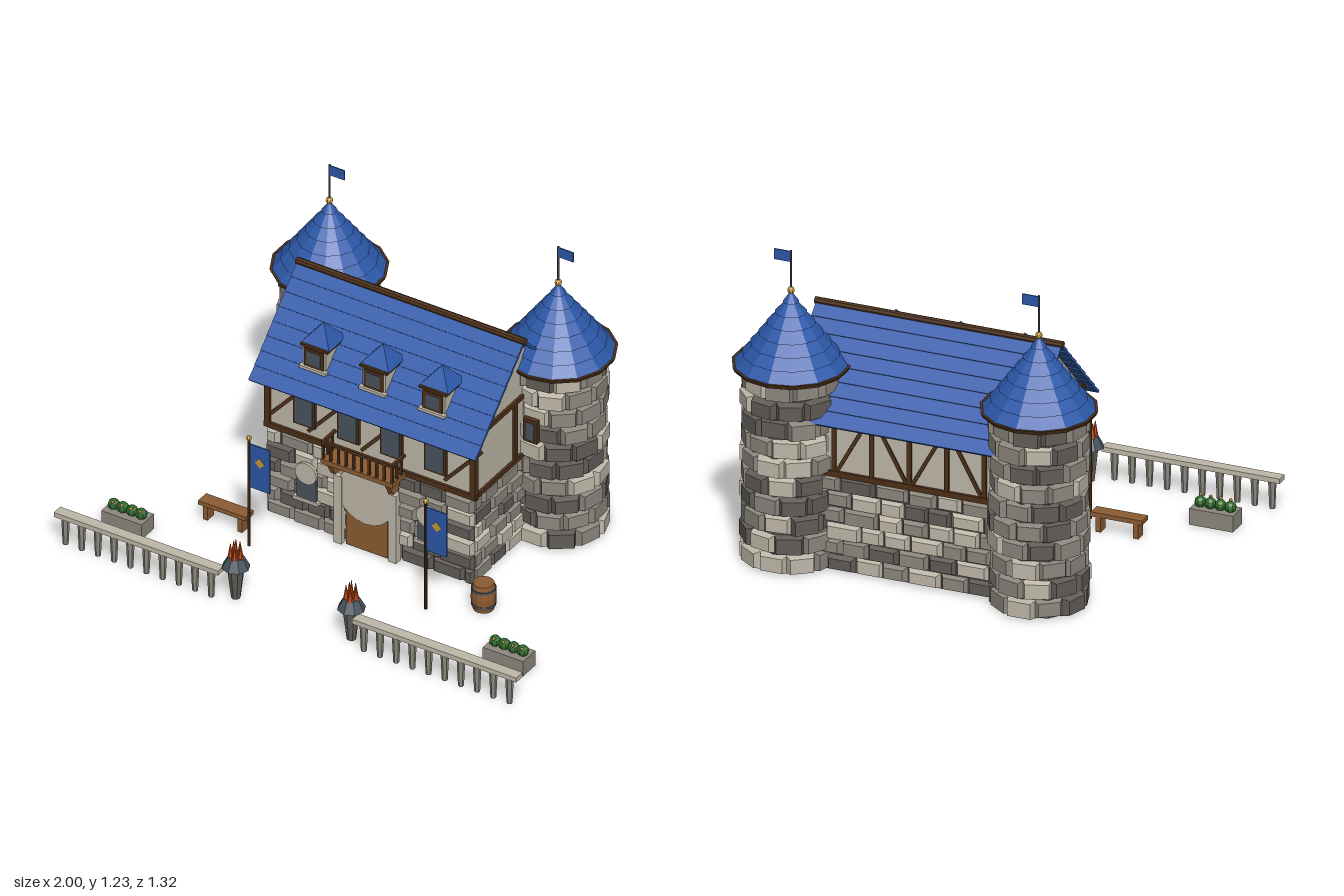
import * as THREE from 'three';
import { mergeGeometries } from 'three/addons/utils/BufferGeometryUtils.js';

const material = (name, color) => {
  const m = new THREE.MeshStandardMaterial({ color, flatShading: true });
  m.name = name;
  return m;
};
const M = {
  light: material('pale stone and plaster', 0xbfb8a9),
  mid: material('grey stone', 0x8d887f),
  dark: material('dark stone', 0x615d58),
  blue: material('blue shingle', 0x2c58a8),
  timber: material('dark timber', 0x4d3018),
  wood: material('warm wood', 0x8c5c33),
  slate: material('slate iron', 0x48545e),
  gold: material('gold', 0xc4983c),
  flame: material('flame', 0xc84a18),
  green: material('leaf green', 0x2f6b2c),
};

let seed = 7;
const rand = () => (seed = (seed * 16807) % 2147483647) / 2147483647;

const place = (g, x, y, z, rx = 0, ry = 0, rz = 0) =>
  g.applyMatrix4(new THREE.Matrix4().makeRotationFromEuler(new THREE.Euler(rx, ry, rz)).setPosition(x, y, z));
const box = (w, h, d, x, y, z, rx, ry, rz) => place(new THREE.BoxGeometry(w, h, d), x, y, z, rx, ry, rz);
const cyl = (rt, rb, h, n, x, y, z) => place(new THREE.CylinderGeometry(rt, rb, h, n), x, y, z);
const ball = (r, x, y, z) => place(new THREE.SphereGeometry(r, 8, 6), x, y, z);
const disc = (r, d, x, y, z) => place(new THREE.CylinderGeometry(r, r, d, 20), x, y, z, Math.PI / 2);

// Rough block: back at z = 0, front face bevelled
function stone(w, h, d) {
  const g = new THREE.BoxGeometry(w, h, d), p = g.attributes.position;
  const b = 0.007 + rand() * 0.006;
  const skew = (rand() - 0.5) * 0.005;
  for (let i = 0; i < p.count; i++) {
    if (p.getZ(i) > 0) {
      p.setX(i, p.getX(i) * (1 - (2 * b) / w));
      p.setY(i, p.getY(i) * (1 - (1.5 * b) / h) + skew);
    }
    p.setZ(i, p.getZ(i) + d / 2);
  }
  return g;
}

export function createModel() {
  const root = new THREE.Group();
  root.name = 'manor';
  const part = (name, mat, geos) => {
    const list = geos.map((g) => (g.index ? g.toNonIndexed() : g));
    list.forEach((g) => { g.deleteAttribute('uv'); g.computeVertexNormals(); });
    const mesh = new THREE.Mesh(mergeGeometries(list), mat);
    mesh.name = name;
    root.add(mesh);
  };
  const pile = () => ({ light: [], mid: [], dark: [] });
  const drop = (p, g) => p[['light', 'mid', 'dark', 'mid', 'light', 'mid', 'dark'][Math.floor(rand() * 7)]].push(g);
  const build = (name, p) => Object.keys(p).forEach((k) => part(name, M[k], p[k]));

  // Ground floor: core with staggered blocks on four sides
  const CZ = -0.215, walls = pile();
  part('wallCore', M.dark, [box(0.86, 0.38, 0.55, 0, 0.19, CZ)]);
  for (const [len, x, z, ry] of [[0.9, 0, 0.06, 0], [0.9, 0, -0.49, Math.PI], [0.55, 0.43, CZ, Math.PI / 2], [0.55, -0.43, CZ, -Math.PI / 2]]) {
    for (let r = 0; r < 6; r++) {
      let a = -len / 2, w = r % 2 ? 0.06 : 0.12;
      while (a < len / 2 - 0.01) {
        let e = a + w;
        if (e > len / 2 - 0.04) e = len / 2;
        const g = stone(e - a - 0.004, 0.06, 0.016 + rand() * 0.01);
        g.translate((a + e) / 2, 0.032 + r * 0.0635, 0);
        drop(walls, place(g, x, 0, z, 0, ry));
        a = e;
        w = 0.09 + rand() * 0.05;
      }
    }
  }
  build('wallStones', walls);

  // Upper storey and gables as one house-shaped prism
  const house = new THREE.Shape();
  house.moveTo(-0.49, 0.38).lineTo(0.06, 0.38).lineTo(0.06, 0.648).lineTo(CZ, 0.92).lineTo(-0.49, 0.648);
  const prism = new THREE.ExtrudeGeometry(house, { depth: 0.89, bevelEnabled: false });
  part('upperStorey', M.light, [place(prism, 0.445, 0, 0, 0, -Math.PI / 2)]);

  // Timber frame
  const frame = [];
  for (const z of [0.06, -0.49]) {
    frame.push(box(0.92, 0.022, 0.022, 0, 0.389, z), box(0.92, 0.022, 0.022, 0, 0.635, z));
    for (const s of [-1, 1]) frame.push(box(0.024, 0.27, 0.024, s * 0.445, 0.515, z));
  }
  for (const s of [-1, 1]) {
    for (const y of [0.389, 0.648]) frame.push(box(0.02, 0.018, 0.57, s * 0.446, y, CZ));
    frame.push(box(0.02, 0.26, 0.02, s * 0.446, 0.515, CZ));
  }
  for (const x of [-0.37, -0.19, 0.04, 0.4]) frame.push(box(0.014, 0.24, 0.012, x, 0.51, 0.062, 0, 0, -0.72));
  for (let i = -2; i <= 2; i++) {
    frame.push(box(0.018, 0.25, 0.014, i * 0.15, 0.515, -0.491));
    if (i < 2) frame.push(box(0.014, 0.27, 0.012, i * 0.15 + 0.075, 0.515, -0.49, 0, 0, i % 2 ? 0.5 : -0.5));
  }
  part('timberFrame', M.timber, frame);

  // Main roof: overlapping shingle courses and ridge beam
  const courses = [], ROWS = 8, A = 0.777;
  for (const s of [-1, 1])
    for (let i = 0; i < ROWS; i++) {
      const t = (i + 0.5) / ROWS;
      courses.push(box(0.98, 0.011, 0.067, 0, 0.933 - 0.33 * t, CZ + s * 0.335 * t, s * (A - 0.07)));
    }
  part('mainRoof', M.blue, courses);
  part('ridgeBeam', M.timber, [place(new THREE.CylinderGeometry(0.014, 0.014, 0.99, 8), 0, 0.935, CZ, 0, 0, Math.PI / 2)]);

  // Dormers
  const dBody = [], dFrame = [], dGlass = [], dRoof = [];
  for (const x of [-0.257, 0, 0.257]) {
    dBody.push(box(0.1, 0.1, 0.12, x, 0.735, -0.018), box(0.115, 0.012, 0.02, x, 0.69, 0.048));
    dFrame.push(box(0.084, 0.078, 0.008, x, 0.735, 0.044), box(0.12, 0.01, 0.135, x, 0.782, -0.02));
    dGlass.push(box(0.058, 0.056, 0.006, x, 0.735, 0.047));
    dRoof.push(place(new THREE.ConeGeometry(0.088, 0.075, 4), x, 0.822, -0.022, 0, Math.PI / 4));
  }
  part('dormerBody', M.light, dBody);
  part('dormerFrame', M.timber, dFrame);
  part('dormerGlass', M.slate, dGlass);
  part('dormerRoof', M.blue, dRoof);

  // Upper windows
  const xs = [-0.283, -0.093, 0.093, 0.283];
  part('windowFrame', M.timber, xs.map((x) => box(0.094, 0.14, 0.016, x, 0.513, 0.066)));
  part('windowGlass', M.slate, xs.map((x) => box(0.076, 0.122, 0.008, x, 0.513, 0.073)));

  // Entrance and ground windows with rounded stone heads
  part('door', M.wood, [box(0.18, 0.26, 0.02, 0, 0.13, 0.082)]);
  part('groundWindow', M.slate, [-1, 1].map((s) => box(0.085, 0.13, 0.01, s * 0.262, 0.2, 0.087)));
  const heads = [disc(0.122, 0.02, 0, 0.248, 0.092)];
  for (const s of [-1, 1]) {
    heads.push(disc(0.046, 0.012, s * 0.262, 0.25, 0.09), box(0.035, 0.3, 0.035, s * 0.118, 0.15, 0.088));
    heads.push(box(0.11, 0.014, 0.02, s * 0.262, 0.13, 0.088));
  }
  part('archStones', M.light, heads);

  // Balcony with brackets and railing
  const deck = [box(0.31, 0.02, 0.09, 0, 0.387, 0.117)];
  for (const s of [-1, 1]) {
    const b = new THREE.Shape();
    b.moveTo(0.075, 0.378).lineTo(0.155, 0.378).lineTo(0.125, 0.32).lineTo(0.09, 0.32);
    deck.push(place(new THREE.ExtrudeGeometry(b, { depth: 0.022, bevelEnabled: false }), s * 0.125 + 0.011, 0, 0, 0, -Math.PI / 2));
  }
  part('balconyDeck', M.wood, deck);
  const rails = [box(0.31, 0.012, 0.012, 0, 0.471, 0.154)];
  for (let i = 0; i < 10; i++) rails.push(box(0.009, 0.08, 0.009, -0.149 + i * 0.0331, 0.434, 0.154));
  for (const s of [-1, 1]) {
    rails.push(box(0.012, 0.012, 0.085, s * 0.149, 0.471, 0.115));
    for (const z of [0.092, 0.122]) rails.push(box(0.009, 0.08, 0.009, s * 0.149, 0.434, z));
  }
  part('balconyRailing', M.timber, rails);

  // Round towers with stepped cone roofs, finials and flags
  const TZ = -0.44, tower = pile(), core = [], cone = [], rim = [], pole = [], knob = [], flag = [];
  for (const s of [-1, 1]) {
    const x = s * 0.495;
    core.push(cyl(0.163, 0.163, 0.768, 10, x, 0.384, TZ));
    for (let r = 0; r < 10; r++)
      for (let k = 0; k < 10; k++) {
        const a = ((k + (r % 2) / 2) / 10) * Math.PI * 2 + r * 0.05;
        const g = stone(0.109, 0.073, 0.024 + rand() * 0.012);
        g.translate(0, 0, 0.152);
        drop(tower, place(g, x, 0.039 + r * 0.0768, TZ, 0, a));
      }
    rim.push(cyl(0.221, 0.214, 0.016, 14, x, 0.772, TZ));
    for (let i = 0; i < 7; i++) {
      const r0 = 0.212 * (1 - i / 7), r1 = Math.max(0.212 * (1 - (i + 1) / 7) - 0.009, 0.001);
      cone.push(cyl(r1, r0, 0.042, 14, x, 0.8 + i * 0.041, TZ));
    }
    pole.push(cyl(0.004, 0.004, 0.17, 6, x, 1.145, TZ));
    knob.push(ball(0.014, x, 1.07, TZ));
    flag.push(box(0.064, 0.042, 0.005, x + 0.034, 1.205, TZ));
  }
  part('towerCore', M.dark, core);
  build('towerStones', tower);
  part('towerRim', M.timber, rim);
  part('towerRoof', M.blue, cone);
  part('flagPole', M.slate, pole);
  part('finial', M.gold, knob);
  part('towerFlag', M.blue, flag);
  part('towerSlitFrame', M.timber, [-1, 1].map((s) => box(0.06, 0.1, 0.02, s * 0.495, 0.52, -0.254)));
  part('towerSlit', M.slate, [-1, 1].map((s) => box(0.036, 0.076, 0.008, s * 0.495, 0.52, -0.243)));

  // Banners on poles
  const bx = [-0.385, 0.38];
  part('bannerPole', M.timber, bx.map((x) => cyl(0.006, 0.006, 0.475, 8, x, 0.2375, 0.29)));
  part('bannerKnob', M.gold, bx.map((x) => ball(0.011, x, 0.48, 0.29)));
  part('bannerCloth', M.blue, bx.map((x) => box(0.086, 0.192, 0.006, x + 0.049, 0.36, 0.29)));
  part('bannerDiamond', M.gold, bx.map((x) => box(0.03, 0.03, 0.009, x + 0.049, 0.385, 0.29, 0, 0, Math.PI / 4)));

  // Bench and barrel
  const bench = [box(0.205, 0.018, 0.055, -0.533, 0.07, 0.213)];
  for (const s of [-1, 1]) bench.push(box(0.02, 0.062, 0.046, -0.533 + s * 0.075, 0.031, 0.213));
  part('bench', M.wood, bench);
  const stave = [[0, 0], [0.04, 0], [0.047, 0.035], [0.048, 0.06], [0.046, 0.085], [0.04, 0.113], [0, 0.113]];
  part('barrel', M.wood, [place(new THREE.LatheGeometry(stave.map((p) => new THREE.Vector2(...p)), 14), 0.555, 0, 0.17)]);
  part('barrelHoops', M.slate, [0.025, 0.09].map((y) => cyl(0.0475, 0.0475, 0.009, 14, 0.555, y, 0.17)));

  // Planters, balustrades and braziers, mirrored
  const trough = [], plant = [], bud = [], rail = [], post = [], stand = [], bowl = [], fire = [];
  for (const s of [-1, 1]) {
    trough.push(box(0.175, 0.065, 0.084, s * 0.825, 0.0325, 0.425));
    for (let i = 0; i < 4; i++) {
      const x = s * 0.825 - 0.06 + i * 0.04;
      plant.push(ball(0.023, x, 0.08, 0.425));
      bud.push(ball(0.007, x + 0.006, 0.1, 0.442));
    }
    rail.push(box(0.71, 0.02, 0.044, s * 0.645, 0.125, 0.633));
    for (let i = 0; i < 10; i++) post.push(cyl(0.016, 0.011, 0.116, 6, s * (0.33 + i * 0.07), 0.058, 0.637));
    stand.push(cyl(0.034, 0.018, 0.14, 8, s * 0.25, 0.07, 0.595));
    bowl.push(cyl(0.03, 0.054, 0.045, 8, s * 0.25, 0.158, 0.595));
    for (let i = 0; i < 6; i++) {
      const a = (i * Math.PI * 2) / 5, r = i < 5 ? 0.02 : 0, h = i < 5 ? 0.065 : 0.085;
      fire.push(cyl(0.001, 0.012, h, 6, s * 0.25 + r * Math.cos(a), 0.173 + h / 2, 0.595 + r * Math.sin(a)));
    }
  }
  part('planter', M.mid, trough);
  part('planterLeaves', M.green, plant);
  part('planterBuds', M.gold, bud);
  part('balustradeRail', M.light, rail);
  part('balusters', M.mid, post);
  part('brazierStand', M.dark, stand);
  part('brazierBowl', M.slate, bowl);
  part('brazierFlames', M.flame, fire);
  return root;
}
